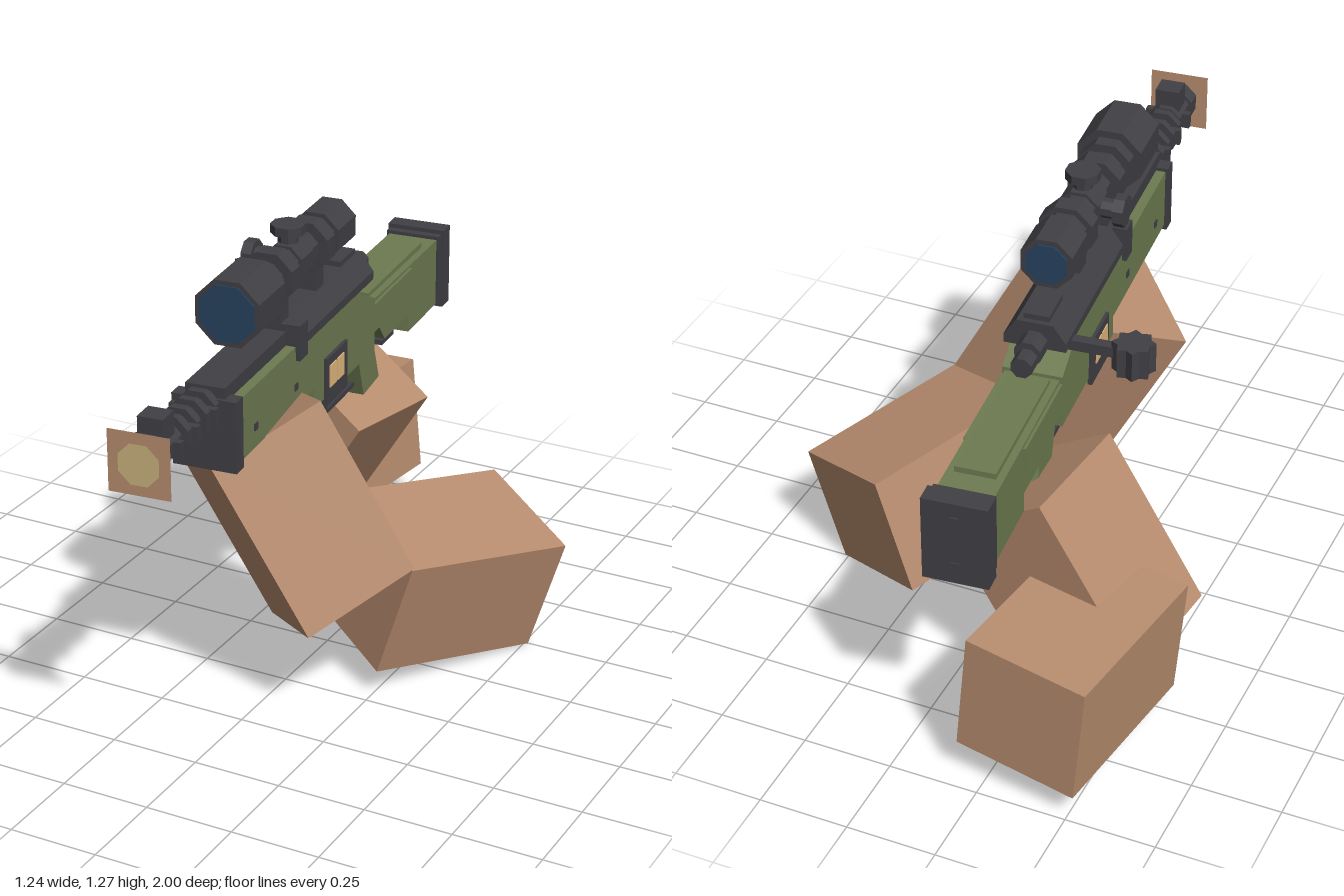
import * as THREE from 'three';

const mat = (name, color, side = THREE.FrontSide) => {
  const m = new THREE.MeshStandardMaterial({ color, side });
  m.name = name;
  return m;
};

export function createModel() {
  const skin = mat('skin tan', 0xb88d6f, THREE.DoubleSide);
  const green = mat('olive green', 0x6d7b51);
  const dark = mat('gunmetal', 0x404045);
  const blue = mat('lens blue', 0x27425f);
  const brass = mat('brass', 0xe0b67c);
  const pale = mat('pale yellow', 0xcab47e);

  const model = new THREE.Group();
  const gun = new THREE.Group();
  gun.name = 'rifle';
  gun.position.x = -0.097;
  gun.rotation.y = 0.098;
  model.add(gun);

  const add = (name, geometry, material, parent = gun) => {
    const mesh = new THREE.Mesh(geometry, material);
    mesh.name = name;
    parent.add(mesh);
    return mesh;
  };
  // box given by its x, y and z ranges
  const box = (name, m, [x0, x1], [y0, y1], [z0, z1]) => {
    const g = new THREE.BoxGeometry(x1 - x0, y1 - y0, z1 - z0);
    g.translate((x0 + x1) / 2, (y0 + y1) / 2, (z0 + z1) / 2);
    return add(name, g, m);
  };
  // faceted octagonal drum, measured across its flats
  const drum = (half, length) => {
    const r = half / Math.cos(Math.PI / 8);
    const g = new THREE.CylinderGeometry(r, r, length, 8, 1, false, Math.PI / 8).toNonIndexed();
    g.computeVertexNormals();
    return g;
  };
  const drumZ = (name, m, half, y, z0, z1) =>
    add(name, drum(half, z1 - z0).rotateX(Math.PI / 2).translate(0, y, (z0 + z1) / 2), m);
  // side outline of [z, y] points, extruded across x
  const slab = (name, m, points, width) => {
    const shape = new THREE.Shape(points.map(p => new THREE.Vector2(...p)));
    const g = new THREE.ExtrudeGeometry(shape, { depth: width, bevelEnabled: false });
    g.translate(0, 0, -width / 2).rotateY(-Math.PI / 2);
    return add(name, g, m);
  };
  // limb block from one corner and its three edge vectors
  const limb = (name, corner, ...edges) => {
    const [u, v, w] = edges.map(e => new THREE.Vector3(...e));
    const flip = u.clone().cross(v).dot(w) < 0;
    const basis = new THREE.Matrix4().makeBasis(flip ? v : u, flip ? u : v, w);
    basis.setPosition(...corner);
    add(name, new THREE.BoxGeometry(1, 1, 1).translate(0.5, 0.5, 0.5).applyMatrix4(basis), skin, model);
  };

  // arms
  limb('leftForearm', [-0.069, 0.745, 0.517], [-0.245, -0.1, -0.245], [0.19, 0.14, -0.247], [0.25, -0.466, -0.064]);
  limb('leftUpperArm', [0.37, 0.417, 0.217], [-0.104, -0.335, 0], [0.245, -0.077, -0.466], [-0.3, 0.094, -0.174]);
  limb('rightForearm', [-0.608, 0.283, -0.333], [0.278, 0.446, 0.013], [0.291, -0.188, 0.052], [0.049, -0.02, -0.345]);
  limb('rightUpperArm', [-0.621, 0.427, -0.476], [0.03, -0.348, -0.003], [0.347, 0.03, 0.046], [0.069, 0.01, -0.524]);

  // muzzle plate with its pale spot
  add('muzzlePlate', new THREE.PlaneGeometry(0.17, 0.17).translate(0, 0.975, 0.992), skin);
  add('muzzleSpot', new THREE.CircleGeometry(0.06, 8, Math.PI / 8).translate(0, 0.975, 0.996), pale);

  // barrel and muzzle brake rings
  drumZ('barrel', dark, 0.035, 0.978, 0.55, 0.98);
  drumZ('muzzle', dark, 0.053, 0.98, 0.935, 0.985);
  drumZ('muzzleCollar', dark, 0.045, 0.98, 0.84, 0.935);
  box('frontSight', dark, [-0.035, 0.035], [0.98, 1.072], [0.86, 0.925]);
  for (const z of [0.81, 0.755, 0.7, 0.645]) drumZ('barrelRing', dark, 0.054, 0.978, z - 0.012, z + 0.012);
  for (const z of [0.88, 0.78, 0.67]) box('brakeFin', dark, [-0.065, 0.065], [0.955, 1.0], [z - 0.01, z + 0.01]);

  // body, grip and stock
  slab('body', green, [[0.57, 0.81], [0.57, 0.985], [-0.22, 0.985], [-0.38, 0.905], [-0.38, 0.75], [0.07, 0.75], [0.07, 0.81]], 0.165);
  box('handguardCap', dark, [-0.09, 0.09], [0.795, 0.995], [0.565, 0.61]);
  box('handguardLug', dark, [-0.015, 0.015], [0.76, 0.81], [0.38, 0.42]);
  slab('grip', green, [[-0.32, 0.78], [-0.43, 0.8], [-0.5, 0.61], [-0.38, 0.6]], 0.1);
  slab('stock', green, [[-0.38, 0.895], [-0.915, 0.89], [-0.915, 0.685], [-0.675, 0.685], [-0.675, 0.74],
    [-0.48, 0.74], [-0.43, 0.8], [-0.38, 0.8]], 0.15);
  box('cheekRest', green, [-0.055, 0.055], [0.88, 0.907], [-0.83, -0.4]);
  for (const s of [-1, 1]) box('stockPanel', green, s > 0 ? [0.07, 0.083] : [-0.083, -0.07], [0.8, 0.885], [-0.68, -0.38]);
  box('buttPlate', dark, [-0.082, 0.082], [0.68, 0.9], [-0.93, -0.905]);
  box('buttPad', dark, [-0.088, 0.088], [0.668, 0.912], [-0.985, -0.93]);
  for (const y of [0.72, 0.86]) box('buttScrew', dark, [-0.012, 0.012], [y - 0.012, y + 0.012], [-0.989, -0.983]);
  box('stockFoot', dark, [-0.04, 0.04], [0.685, 0.7], [-0.645, -0.55]);
  box('stockFootPost', dark, [-0.02, 0.02], [0.695, 0.745], [-0.625, -0.585]);

  // magazine windows with cartridges, and side bolts
  box('magazine', dark, [-0.06, 0.06], [0.725, 0.76], [-0.14, -0.01]);
  for (const s of [-1, 1]) {
    const side = (a, b) => (s > 0 ? [a, b] : [-b, -a]);
    box('magazineFrame', dark, side(0.08, 0.092), [0.73, 0.87], [-0.15, 0]);
    for (const z of [-0.095, -0.04])
      box('cartridge', brass, side(0.09, 0.095), [0.78, 0.845], [z - 0.023, z + 0.023]);
    for (const z of [0.47, 0.2]) box('sideBolt', dark, side(0.08, 0.086), [0.86, 0.88], [z - 0.01, z + 0.01]);
  }

  // trigger and guard
  box('triggerGuardFront', dark, [-0.025, 0.025], [0.63, 0.755], [-0.165, -0.153]);
  box('triggerGuardBase', dark, [-0.025, 0.025], [0.627, 0.642], [-0.38, -0.153]);
  slab('trigger', dark, [[-0.21, 0.755], [-0.24, 0.755], [-0.235, 0.67], [-0.2, 0.67], [-0.215, 0.695]], 0.025);

  // receiver with chamfered top, and rail
  const section = new THREE.Shape([[-0.085, 0.97], [0.085, 0.97], [0.085, 0.995], [0.05, 1.045], [-0.05, 1.045], [-0.085, 0.995]]
    .map(p => new THREE.Vector2(...p)));
  add('receiver', new THREE.ExtrudeGeometry(section, { depth: 0.56, bevelEnabled: false }).translate(0, 0, -0.36), dark);
  box('frontRail', dark, [-0.055, 0.055], [0.975, 1.025], [0.19, 0.6]);
  box('rearSight', dark, [-0.035, 0.035], [1.04, 1.06], [-0.345, -0.235]);
  drumZ('boltBody', dark, 0.035, 0.985, -0.42, -0.34);
  drumZ('boltCap', dark, 0.028, 0.975, -0.47, -0.42);

  // bolt handle with a star shaped knob
  box('boltArm', dark, [-0.22, -0.07], [0.95, 0.98], [-0.315, -0.285]);
  for (const a of [0, Math.PI / 4])
    add('boltKnob', new THREE.BoxGeometry(0.082, 0.085, 0.082).rotateY(a + 0.2).translate(-0.25, 0.957, -0.3), dark);

  // scope
  const sy = 1.165;
  drumZ('scopeBell', dark, 0.09, sy, 0.285, 0.455);
  drumZ('scopeBellNeck', dark, 0.07, sy, 0.245, 0.285);
  drumZ('scopeTube', dark, 0.047, sy, -0.14, 0.25);
  drumZ('scopeCollar', dark, 0.058, sy, -0.14, -0.07);
  drumZ('eyepiece', dark, 0.07, sy, -0.262, -0.135);
  drumZ('frontLens', blue, 0.077, sy, 0.45, 0.459);
  drumZ('rearLens', blue, 0.056, sy, -0.266, -0.258);
  drumZ('turretBlock', dark, 0.055, sy, 0.01, 0.09);
  add('turretStem', drum(0.025, 0.06).translate(0, 1.225, 0.05), dark);
  add('turretCap', drum(0.045, 0.025).translate(0, 1.258, 0.05), dark);
  add('sideTurretStem', drum(0.025, 0.06).rotateZ(Math.PI / 2).translate(-0.07, sy, 0.05), dark);
  add('sideTurretCap', drum(0.042, 0.03).rotateZ(Math.PI / 2).translate(-0.107, sy, 0.05), dark);

  // scope mounts
  for (const z of [0.172, -0.075]) {
    drumZ('mountRing', dark, 0.073, sy, z - 0.027, z + 0.027);
    box('mountPost', dark, [-0.04, 0.04], [1.03, 1.12], [z - 0.027, z + 0.027]);
  }
  for (const s of [-1, 1])
    box('mountClamp', dark, s > 0 ? [0.05, 0.095] : [-0.095, -0.05], [0.945, 1.045], [0.145, 0.199]);

  return model;
}
